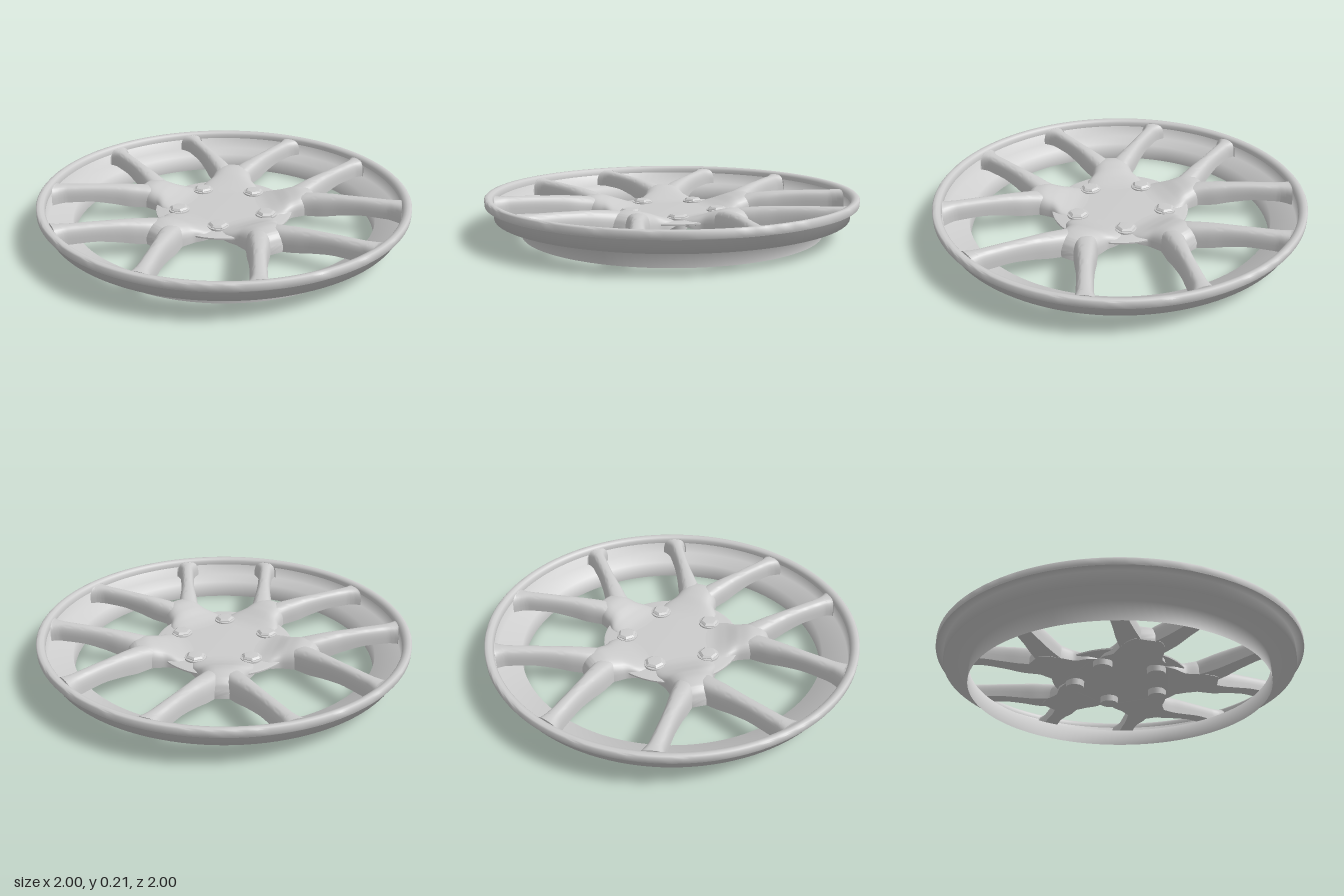
import * as THREE from 'three';
import { toCreasedNormals } from 'three/addons/utils/BufferGeometryUtils.js';

const grey = new THREE.MeshStandardMaterial({ color: 0xcccccc });
const greyDouble = new THREE.MeshStandardMaterial({ color: 0xcccccc, side: THREE.DoubleSide });
const DEG = Math.PI / 180;
const WALL = 0.952; // inner radius of the rim, where the spokes end

function add(parent, name, geometry, material = grey) {
  const mesh = new THREE.Mesh(geometry, material);
  mesh.name = name;
  parent.add(mesh);
  return mesh;
}

const lathe = (points, segments) =>
  new THREE.LatheGeometry(points.map(([r, y]) => new THREE.Vector2(r, y)), segments);

// Stations: distance from hub, sideways offset, half width, top, bottom
const SPOKE = [
  [0.34, 0.025, 0.055, 0.135, 0.07],
  [0.45, 0.056, 0.062, 0.165, 0.06],
  [0.54, 0.109, 0.055, 0.178, 0.066],
  [0.62, 0.158, 0.045, 0.185, 0.083],
  [0.73, 0.225, 0.041, 0.191, 0.102],
  [0.84, 0.292, 0.044, 0.195, 0.104],
  [0.875, 0.313, 0.056, 0.197, 0.104],
  [0.905, 0.331, 0.076, 0.199, 0.104],
];
const TRUNK = [
  [0.15, 0, 0.15, 0.102, 0.09],
  [0.23, 0, 0.17, 0.108, 0.085],
  [0.3, 0, 0.165, 0.128, 0.07],
  [0.36, 0, 0.128, 0.153, 0.06],
  [0.43, 0, 0.115, 0.168, 0.06],
  [0.49, 0, 0.1, 0.16, 0.06],
  [0.52, 0, 0.082, 0.135, 0.06],
  [0.535, 0, 0.065, 0.1, 0.062],
];

// Arched cross-sections lofted along the stations; side mirrors the offset
function loftGeometry(stations, side) {
  const path = new THREE.CatmullRomCurve3(stations.map((s) => new THREE.Vector3(s[0], 0, s[1] * side)));
  const size = new THREE.CatmullRomCurve3(stations.map((s) => new THREE.Vector3(s[2], s[3], s[4])));
  const rings = 40, arch = 16, count = arch + 1;
  const positions = [], index = [];
  for (let i = 0; i <= rings; i++) {
    const p = path.getPoint(i / rings), t = path.getTangent(i / rings);
    const { x: half, y: top, z: bottom } = size.getPoint(i / rings);
    for (let j = 0; j <= arch; j++) {
      const a = (j / arch) * Math.PI, c = Math.cos(a);
      const u = Math.sign(c) * Math.abs(c) ** 0.7 * half;
      const y = bottom + (top - bottom) * Math.max(0, Math.sin(a)) ** 0.65;
      const x = p.x - t.z * u, z = p.z + t.x * u;
      const trim = Math.min(1, WALL / Math.hypot(x, z));
      positions.push(x * trim, y, z * trim);
    }
  }
  for (let i = 0; i < rings; i++) {
    for (let j = 0; j < count; j++) {
      const k = (j + 1) % count;
      const a = i * count + j, b = a + count, c = i * count + k, d = c + count;
      index.push(a, b, c, b, d, c);
    }
  }
  // End caps
  const last = rings * count;
  for (let j = 1; j < arch; j++) {
    index.push(0, j, j + 1, last, last + j + 1, last + j);
  }
  const g = new THREE.BufferGeometry();
  g.setAttribute('position', new THREE.Float32BufferAttribute(positions, 3));
  g.setIndex(index);
  return toCreasedNormals(g, 50 * DEG);
}

// Hexagonal nut on a round seat, with its stud below the hub
function lugNut() {
  const nut = new THREE.Group();
  nut.name = 'lugNut';
  add(nut, 'nutSeat', toCreasedNormals(lathe([[0.058, 0.095], [0.057, 0.111], [0.05, 0.113], [0, 0.113]], 24), 40 * DEG));
  add(nut, 'nutHead', toCreasedNormals(lathe([[0.052, 0.105], [0.052, 0.116], [0.04, 0.125], [0, 0.127]], 6), 0.2));
  add(nut, 'nutStud', new THREE.CylinderGeometry(0.053, 0.05, 0.06, 24)).position.y = 0.08;
  return nut;
}

export function createModel() {
  const wheel = new THREE.Group();
  wheel.name = 'wheel';

  // Stepped barrel, a thin sheet with soft shading
  add(wheel, 'barrel', lathe([
    [0.82, 0], [0.82, 0.1], [0.955, 0.1], [0.955, 0.17], [0.998, 0.17],
  ], 128), greyDouble);

  // Rounded outer lip
  add(wheel, 'rimLip', toCreasedNormals(lathe([
    [0.998, 0.17], [1, 0.175], [1, 0.204], [0.994, 0.21],
    [0.978, 0.21], [0.963, 0.204], [0.955, 0.192], [0.955, 0.17],
  ], 128), 60 * DEG));

  // Hub plate
  add(wheel, 'hubPlate', toCreasedNormals(lathe([
    [0, 0.085], [0.36, 0.085], [0.375, 0.089], [0.375, 0.097], [0.36, 0.101], [0.2, 0.104], [0, 0.104],
  ], 64), 40 * DEG));

  // Five forked spokes, with a lug nut between each pair of forks
  const trunk = loftGeometry(TRUNK, 1);
  const arms = [loftGeometry(SPOKE, 1), loftGeometry(SPOKE, -1)];
  for (let k = 0; k < 5; k++) {
    const fork = new THREE.Group();
    fork.name = 'forkedSpoke';
    fork.rotation.y = -(-89 + 72 * k) * DEG;
    add(fork, 'trunk', trunk);
    arms.forEach((g) => add(fork, 'spoke', g));
    wheel.add(fork);

    const nut = lugNut();
    const a = (91 + 72 * k) * DEG;
    nut.position.set(0.25 * Math.cos(a), 0, 0.25 * Math.sin(a));
    nut.rotation.y = -a;
    wheel.add(nut);
  }
  return wheel;
}
